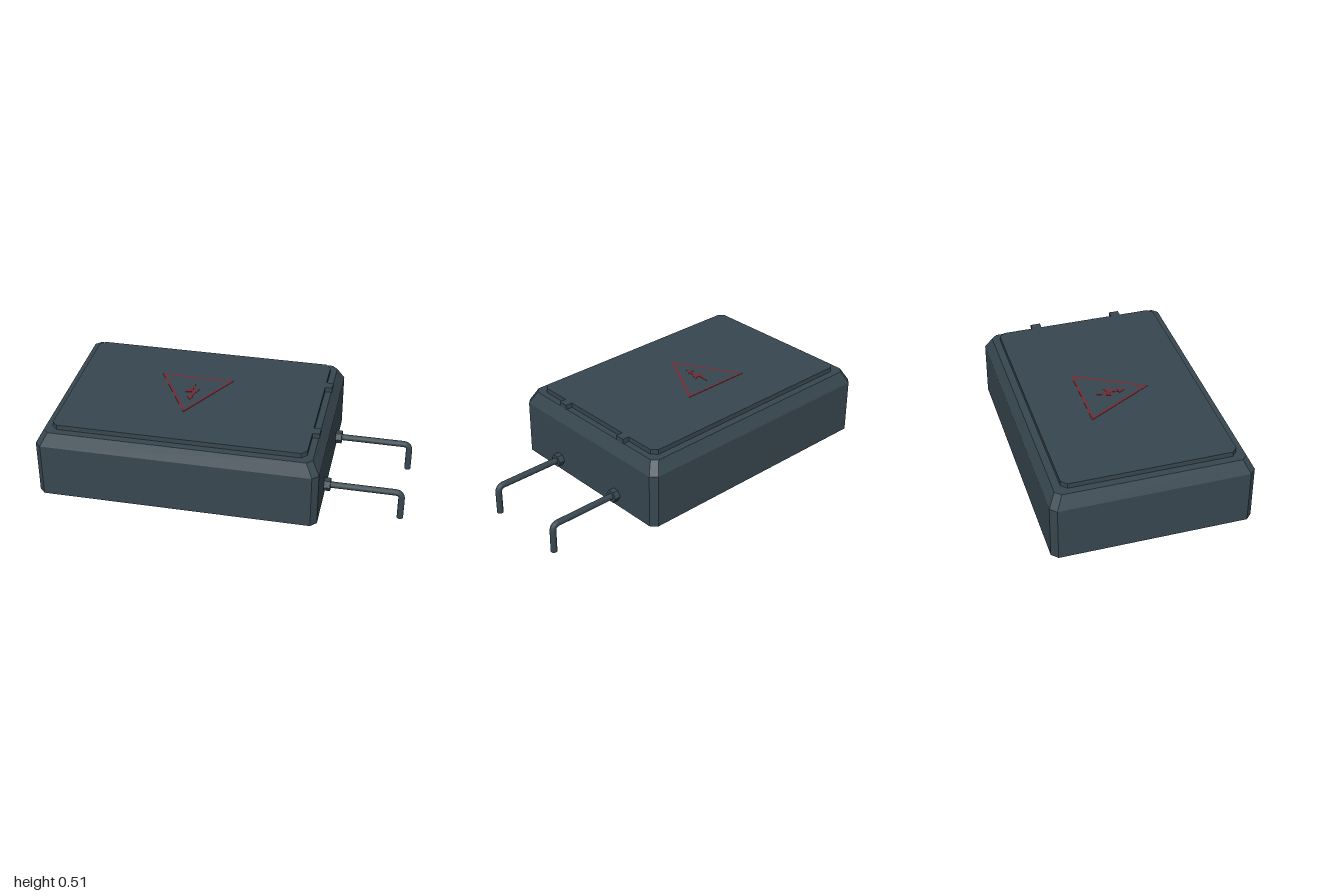
import * as THREE from 'three';

const casingMat = new THREE.MeshStandardMaterial({ name: 'slateCasing', color: 0x37474f, side: THREE.DoubleSide, flatShading: true });
const metalMat = new THREE.MeshStandardMaterial({ name: 'slateMetal', color: 0x37474f });
const redMat = new THREE.MeshStandardMaterial({ name: 'warningRed', color: 0x762a32 });

function mesh(name, geometry, material, parent) {
  const m = new THREE.Mesh(geometry, material);
  m.name = name;
  parent.add(m);
  return m;
}

// Rectangle with cut corners at height y, counterclockwise from above
function ring(x0, x1, hz, c, y) {
  return [
    [x1, hz - c], [x1, -hz + c], [x1 - c, -hz], [x0 + c, -hz],
    [x0, -hz + c], [x0, hz - c], [x0 + c, hz], [x1 - c, hz],
  ].map(([x, z]) => [x, y, z]);
}

// Skin between consecutive rings, with an optional lid on the last one
function loft(rings, cap) {
  const pos = [];
  for (let r = 0; r < rings.length - 1; r++) {
    const lo = rings[r], hi = rings[r + 1];
    for (let i = 0; i < lo.length; i++) {
      const j = (i + 1) % lo.length;
      pos.push(...lo[i], ...lo[j], ...hi[j], ...lo[i], ...hi[j], ...hi[i]);
    }
  }
  if (cap) {
    const top = rings[rings.length - 1];
    for (let i = 1; i < top.length - 1; i++) pos.push(...top[0], ...top[i], ...top[i + 1]);
  }
  const g = new THREE.BufferGeometry();
  g.setAttribute('position', new THREE.Float32BufferAttribute(pos, 3));
  g.computeVertexNormals();
  return g;
}

// Thin plate lying on the lid, drawn in x and z
function plate(points, hole) {
  const toV = ([x, z]) => new THREE.Vector2(x, -z);
  const shape = new THREE.Shape(points.map(toV));
  if (hole) shape.holes.push(new THREE.Path(hole.map(toV)));
  const g = new THREE.ExtrudeGeometry(shape, { depth: 0.004, bevelEnabled: false });
  return g.rotateX(-Math.PI / 2).translate(0, 0.505, 0);
}

export function createModel() {
  const model = new THREE.Group();
  model.name = 'electricalBox';

  // Open-bottomed casing with a sloped shoulder and a flat rim
  const lidBase = ring(-0.92, 0.48, 0.467, 0.03, 0.479);
  mesh('casing', loft([
    ring(-1, 0.555, 0.545, 0.033, 0.098),
    ring(-1, 0.555, 0.545, 0.033, 0.408),
    ring(-0.96, 0.515, 0.508, 0.03, 0.479),
    lidBase,
  ], false), casingMat, model);

  // Raised lid, hollow underneath
  mesh('lid', loft([lidBase, ring(-0.92, 0.48, 0.467, 0.03, 0.507)], true), casingMat, model);

  // Warning triangle and bolt
  mesh('warningTriangle', plate(
    [[-0.46, -0.176], [-0.04, -0.176], [-0.25, 0.2]],
    [[-0.437, -0.163], [-0.063, -0.163], [-0.25, 0.173]],
  ), redMat, model);
  mesh('warningBolt', plate([
    [-0.245, -0.105], [-0.285, -0.005], [-0.25, -0.015], [-0.255, 0.035], [-0.27, 0.03],
    [-0.245, 0.07], [-0.228, 0.025], [-0.242, 0.03], [-0.212, -0.045], [-0.25, -0.03],
  ]), redMat, model);

  for (const side of [1, -1]) {
    const z = 0.24 * side;
    const tag = side > 0 ? 'front' : 'back';

    // Hinge tab on the edge of the lid
    mesh(tag + 'LidTab', new THREE.BoxGeometry(0.042, 0.028, 0.055), casingMat, model)
      .position.set(0.499, 0.493, z);

    // Hexagonal nut where the rod leaves the casing
    const nut = new THREE.CylinderGeometry(0.037, 0.037, 0.035, 6).toNonIndexed();
    nut.computeVertexNormals();
    nut.rotateZ(-Math.PI / 2);
    mesh(tag + 'Nut', nut, casingMat, model).position.set(0.572, 0.165, z);

    // Rod running out and bending down to the ground
    const path = new THREE.CurvePath();
    const v = (x, y) => new THREE.Vector3(x, y, z);
    path.add(new THREE.LineCurve3(v(0.55, 0.165), v(0.945, 0.165)));
    path.add(new THREE.QuadraticBezierCurve3(v(0.945, 0.165), v(0.982, 0.165), v(0.982, 0.128)));
    path.add(new THREE.LineCurve3(v(0.982, 0.128), v(0.982, 0)));
    mesh(tag + 'Rod', new THREE.TubeGeometry(path, 64, 0.0178, 12), metalMat, model);

    // Flat end of the rod
    mesh(tag + 'RodEnd', new THREE.CircleGeometry(0.0178, 12).rotateX(Math.PI / 2), metalMat, model)
      .position.set(0.982, 0, z);
  }
  return model;
}
